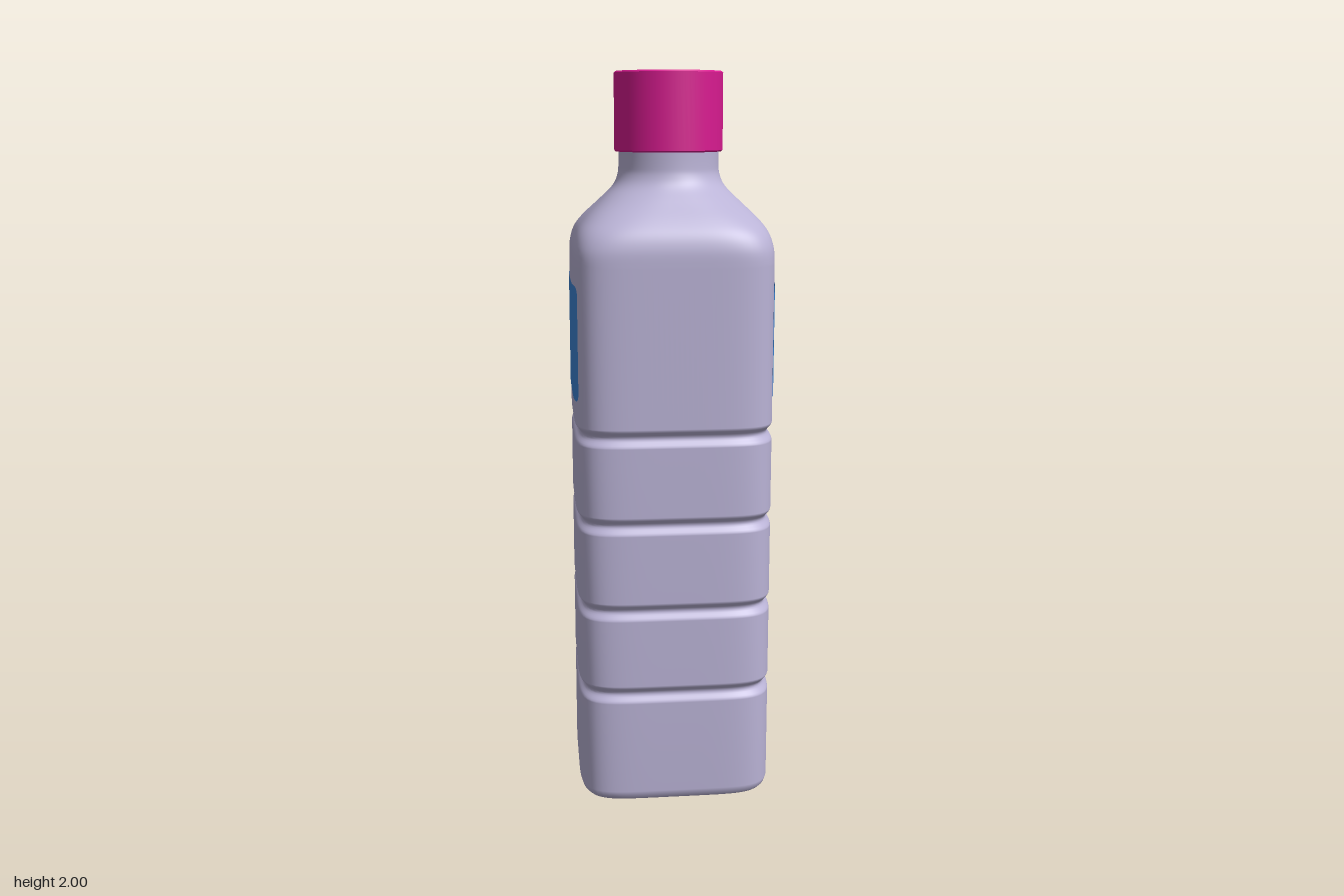
import * as THREE from 'three';
import { mergeVertices } from 'three/addons/utils/BufferGeometryUtils.js';

const HALF = 0.27, SQUARE = 5.8;
const material = (color, side = THREE.FrontSide) => new THREE.MeshStandardMaterial({ color, side });

// Bottle: a lathed profile whose round section is pushed out to a soft square
function bottleGeometry() {
  const profile = [[0, 0.008], [0.21, 0.008], [0.222, 0], [0.243, 0.001], [0.256, 0.007], [0.265, 0.018], [HALF, 0.035]];
  // Ring grooves
  for (const y of [0.325, 0.565, 0.808, 1.05]) {
    for (let i = -6; i <= 6; i++) {
      const t = i / 6;
      profile.push([HALF - 0.013 * Math.pow(Math.cos(t * Math.PI / 2), 2), y + t * 0.026]);
    }
  }
  // Shoulder and neck
  const shoulder = new THREE.SplineCurve([
    [HALF, 1.5], [0.268, 1.545], [0.256, 1.585], [0.23, 1.62], [0.185, 1.665],
    [0.152, 1.7], [0.139, 1.73], [0.136, 1.76], [0.136, 1.82],
  ].map(p => new THREE.Vector2(...p)));
  const points = profile.map(p => new THREE.Vector2(...p)).concat(shoulder.getPoints(40));

  const lathe = new THREE.LatheGeometry(points, 128);
  const pos = lathe.attributes.position;
  for (let i = 0; i < pos.count; i++) {
    const x = pos.getX(i), y = pos.getY(i), z = pos.getZ(i), r = Math.hypot(x, z);
    if (r < 1e-6) continue;
    const n = THREE.MathUtils.lerp(SQUARE, 2, THREE.MathUtils.smoothstep(y, 1.5, 1.74));
    const k = Math.pow(Math.pow(Math.abs(x / r), n) + Math.pow(Math.abs(z / r), n), -1 / n);
    pos.setXYZ(i, x * k, y, z * k);
  }
  lathe.deleteAttribute('uv');
  lathe.deleteAttribute('normal');
  const geometry = mergeVertices(lathe, 1e-5);
  geometry.computeVertexNormals();
  return geometry;
}

// Label: a rounded rectangle that follows the bulge of the side wall
function labelGeometry() {
  const halfW = 0.208, halfH = 0.155, corner = 0.022, midY = 1.295;
  const geometry = new THREE.PlaneGeometry(2, 2, 32, 32);
  const pos = geometry.attributes.position;
  for (let i = 0; i < pos.count; i++) {
    const h = halfH * Math.sin(pos.getY(i) * Math.PI / 2);
    const over = Math.max(0, Math.abs(h) - (halfH - corner));
    const w = halfW - corner + Math.sqrt(Math.max(0, corner * corner - over * over));
    const z = -pos.getX(i) * w;
    const x = HALF * Math.pow(1 - Math.pow(Math.abs(z) / HALF, SQUARE), 1 / SQUARE);
    pos.setXYZ(i, x + 0.002, midY + h, z);
  }
  geometry.computeVertexNormals();
  return geometry;
}

// Cap: a plain cylinder with slightly softened rims
function capGeometry() {
  const r = 0.147, b = 0.004, y0 = 1.79, y1 = 2;
  const points = [[0, y0], [r - b, y0], [r - b, y0], [r, y0 + b], [r, y0 + b],
    [r, y1 - b], [r, y1 - b], [r - b, y1], [r - b, y1], [0, y1]];
  const geometry = new THREE.LatheGeometry(points.map(p => new THREE.Vector2(...p)), 64).toNonIndexed();
  geometry.deleteAttribute('uv');
  geometry.deleteAttribute('normal');
  // Smooth around the wall, sharp at the rims
  geometry.computeVertexNormals();
  const pos = geometry.attributes.position, nor = geometry.attributes.normal;
  for (let i = 0; i < pos.count; i++) {
    const ny = nor.getY(i), side = Math.sqrt(Math.max(0, 1 - ny * ny));
    const len = Math.hypot(pos.getX(i), pos.getZ(i)) || 1;
    nor.setXYZ(i, pos.getX(i) / len * side, ny, pos.getZ(i) / len * side);
  }
  return geometry;
}

export function createModel() {
  const group = new THREE.Group();
  const add = (name, geometry, mat) => {
    const mesh = new THREE.Mesh(geometry, mat);
    mesh.name = name;
    group.add(mesh);
    return mesh;
  };
  add('bottle', bottleGeometry(), material(0xbab3d6));
  add('cap', capGeometry(), material(0xd81b90));

  // One label on each side
  const label = labelGeometry(), blue = material(0x3d85d6, THREE.DoubleSide);
  add('leftLabel', label, blue);
  add('rightLabel', label, blue).rotation.y = Math.PI;
  return group;
}
